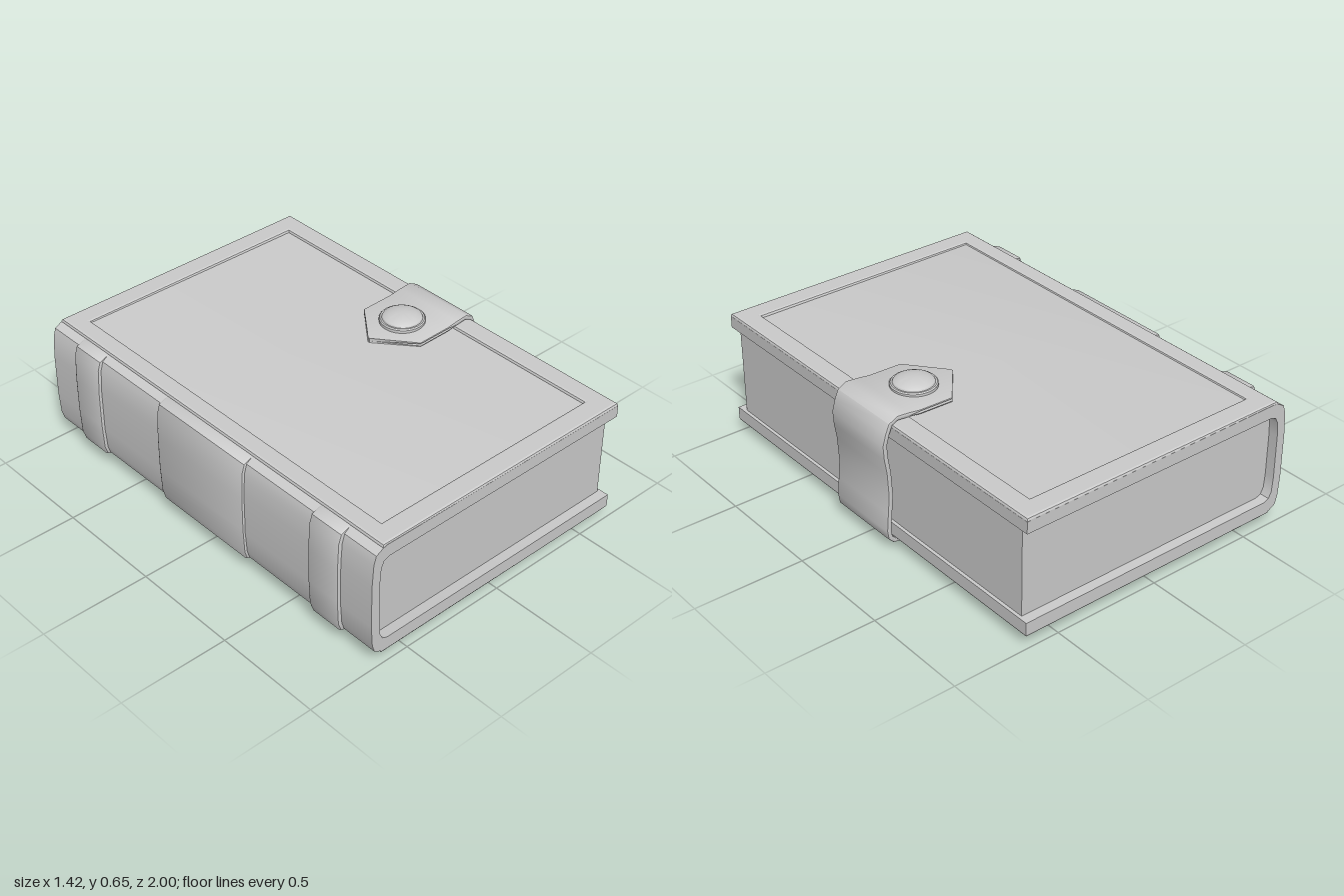
import * as THREE from 'three';
import { toCreasedNormals } from 'three/addons/utils/BufferGeometryUtils.js';

const grey = new THREE.MeshStandardMaterial({ color: 0xcccccc });
const MID = 0.327; // height of the book's mirror plane

function add(parent, name, geometry) {
  const mesh = new THREE.Mesh(geometry, grey);
  mesh.name = name;
  parent.add(mesh);
  return mesh;
}

const toShape = (pts) => new THREE.Shape(pts.map(([x, y]) => new THREE.Vector2(x, y)));

// Follows an upper half-outline with its mirrored lower half (y is relative to MID)
const mirrored = (pts) => [...pts, ...pts.map(([x, y]) => [x, -y]).reverse()];

// Extrudes a profile along z, centred on z, with the total length given
function extrudeZ(pts, length, bevel = 0) {
  const geo = new THREE.ExtrudeGeometry(toShape(pts), {
    depth: length - 2 * bevel, bevelEnabled: bevel > 0, bevelThickness: bevel,
    bevelSize: bevel, bevelOffset: -bevel, bevelSegments: 2,
  });
  return geo.translate(0, 0, bevel - length / 2);
}

const rect = (x0, x1, z) => [[x0, -z], [x1, -z], [x1, z], [x0, z]];

// Thickens a centre line into a closed outline
function ribbon(path, half) {
  const side = (s) => path.map(([x, y], i) => {
    const a = path[Math.max(i - 1, 0)], b = path[Math.min(i + 1, path.length - 1)];
    const dx = b[0] - a[0], dy = b[1] - a[1], len = Math.hypot(dx, dy);
    return [x - (s * half * dy) / len, y + (s * half * dx) / len];
  });
  return [...side(1), ...side(-1).reverse()];
}

export function createModel() {
  const book = new THREE.Group();
  book.name = 'book';
  const body = new THREE.Group();
  body.name = 'bookBody';
  body.position.y = MID;
  book.add(body);

  // Cover: two boards joined by a rounded spine
  const outer = mirrored([
    [0.66, 0.257], [-0.62, 0.262], [-0.645, 0.255], [-0.675, 0.238],
    [-0.687, 0.2], [-0.694, 0.1],
  ]);
  const inner = mirrored([
    [0.66, 0.203], [-0.61, 0.203], [-0.634, 0.193], [-0.648, 0.165], [-0.653, 0.1],
  ]).reverse();
  add(body, 'cover', toCreasedNormals(extrudeZ([...outer, ...inner], 2), 0.6));

  // Page block, rounded towards the spine
  const pages = mirrored([
    [0.645, 0.204], [-0.61, 0.204], [-0.635, 0.194], [-0.649, 0.165], [-0.654, 0.1],
  ]);
  add(body, 'pages', toCreasedNormals(extrudeZ(pages, 1.91), 0.6));

  // Raised bands wrapped over the spine
  const band = (depth) => mirrored([
    [-0.63, 0.258], [-0.655, 0.256], [-0.682 - depth * 0.6, 0.241],
    [-0.69 - depth, 0.2], [-0.696 - depth, 0.08],
  ]);
  for (const [z, length, depth] of [[-0.745, 0.17, 0.013], [0, 0.54, 0.01], [0.745, 0.17, 0.015]]) {
    const mesh = add(body, 'spineBand', toCreasedNormals(extrudeZ(band(depth), length, 0.012), 0.6));
    mesh.position.z = z;
  }

  // Fittings repeated on the top and bottom
  const face = new THREE.Group();
  face.name = 'topFittings';

  // Raised border around the recessed board panel
  const border = toShape(rect(-0.64, 0.6595, 0.9995));
  border.holes.push(toShape(rect(-0.555, 0.565, 0.9).reverse()));
  const frame = new THREE.ExtrudeGeometry(border, {
    depth: 0.01, bevelThickness: 0.011, bevelSize: 0.011, bevelOffset: -0.011, bevelSegments: 2,
  });
  add(face, 'coverBorder', frame.rotateX(-Math.PI / 2).translate(0, 0.25, 0));

  // Domed button with a stepped rim
  const stud = [
    [0.1, -0.01], [0.1, 0.018], [0.095, 0.023], [0.088, 0.023], [0.085, 0.029],
    [0.079, 0.033], [0.06, 0.041], [0.032, 0.046], [0, 0.048],
  ].map(([r, y]) => new THREE.Vector2(r, y));
  const button = add(face, 'button', toCreasedNormals(new THREE.LatheGeometry(stud, 40), 0.5));
  button.position.set(0.42, 0.277, 0);

  const lower = face.clone();
  lower.name = 'bottomFittings';
  lower.rotation.x = Math.PI;
  body.add(face, lower);

  // Strap wrapping the fore edge, slightly slack, pointed at both ends
  const path = [
    [0.225, 0.597], [0.36, 0.598], [0.52, 0.602], [0.575, 0.61], [0.63, 0.615], [0.664, 0.597],
    [0.68, 0.56], [0.694, 0.51], [0.69, 0.45], [0.679, 0.38], [0.673, 0.27], [0.68, 0.19],
    [0.687, 0.105], [0.682, 0.07], [0.662, 0.049], [0.62, 0.045], [0.56, 0.039], [0.52, 0.05],
    [0.36, 0.055], [0.225, 0.057],
  ].reverse();
  const strap = extrudeZ(ribbon(path, 0.011), 0.35, 0.006);
  const p = strap.attributes.position;
  for (let i = 0; i < p.count; i++) {
    const taper = THREE.MathUtils.clamp((p.getX(i) - 0.225) / 0.135, 0.03, 1);
    p.setZ(i, p.getZ(i) * taper);
  }
  add(book, 'strap', toCreasedNormals(strap, 0.7));

  return book;
}
